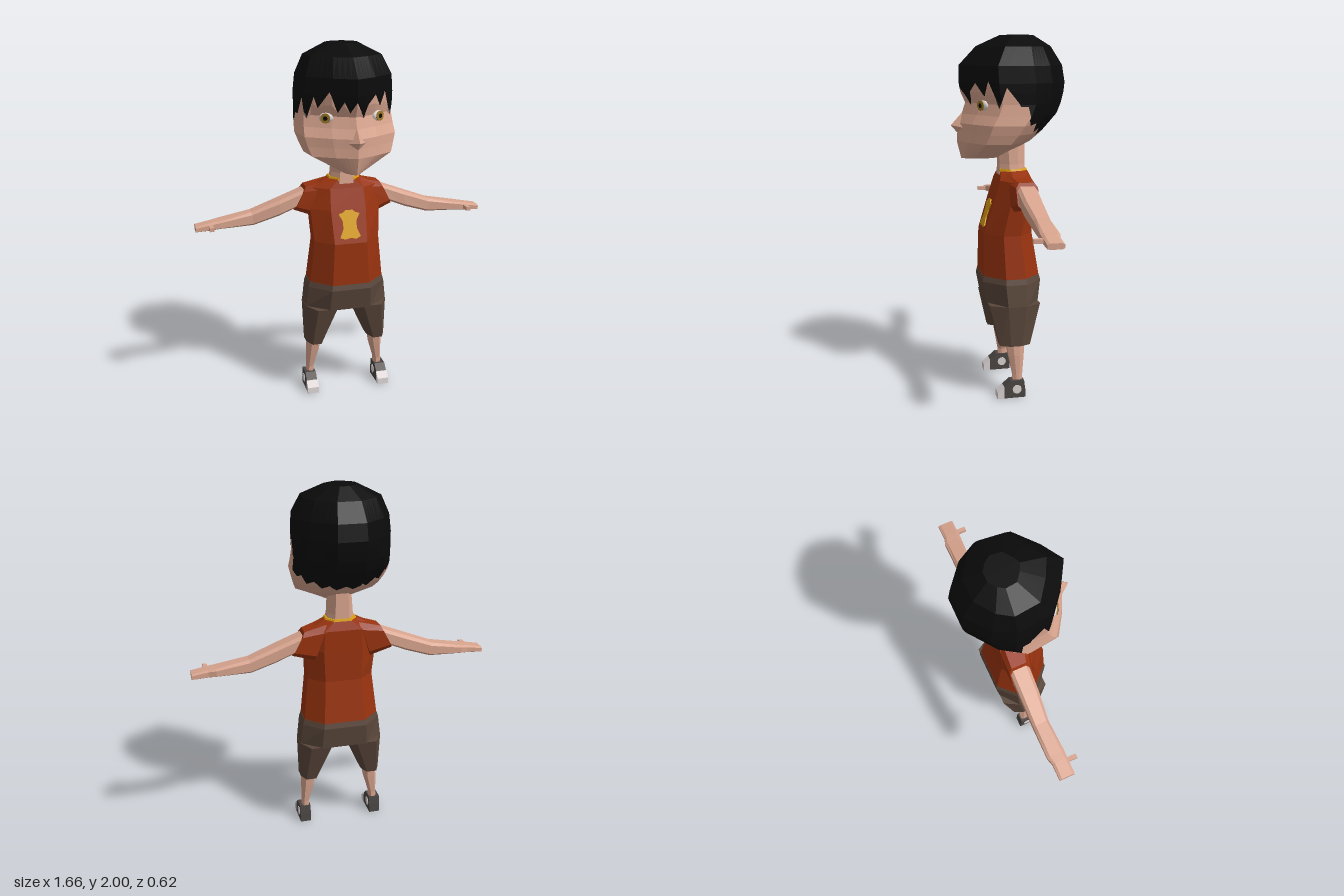
import * as THREE from 'three';

const mat = (name, color) => Object.assign(new THREE.MeshStandardMaterial({ color }), { name });

// Faceted geometry from a list of triangles; s = -1 mirrors it in x
function facets(tris, s = 1) {
  const out = [];
  const a = new THREE.Vector3(), b = new THREE.Vector3();
  for (const t of tris) {
    const p = t.map(([x, y, z]) => new THREE.Vector3(x * s, y, z));
    if (s < 0) p.reverse();
    a.subVectors(p[1], p[0]);
    b.subVectors(p[2], p[0]);
    if (a.cross(b).length() < 1e-8) continue;
    p.forEach(v => out.push(v.x, v.y, v.z));
  }
  const g = new THREE.BufferGeometry();
  g.setAttribute('position', new THREE.Float32BufferAttribute(out, 3));
  g.computeVertexNormals();
  return g;
}

// Skin closed cross-sections, capping the ends when asked
function loft(rings, s = 1, capStart = true, capEnd = true) {
  const tris = [], n = rings[0].length;
  for (let j = 0; j < rings.length - 1; j++) {
    for (let i = 0; i < n; i++) {
      const k = (i + 1) % n, A = rings[j], B = rings[j + 1];
      tris.push([A[i], A[k], B[k]], [A[i], B[k], B[i]]);
    }
  }
  const cap = (r, flip) => {
    const c = [0, 1, 2].map(d => r.reduce((sum, p) => sum + p[d], 0) / n);
    r.forEach((p, i) => {
      const q = r[(i + 1) % n];
      tris.push(flip ? [c, q, p] : [c, p, q]);
    });
  };
  if (capStart) cap(rings[0], true);
  if (capEnd) cap(rings[rings.length - 1], false);
  return facets(tris, s);
}

// Eight-sided body section: height, half width, front z, back z, centre x
const BODY = [[-0.5, 1], [0.5, 1], [1, 0.66], [1, 0.3], [0.55, 0], [-0.55, 0], [-1, 0.3], [-1, 0.66]];
const section = ([y, w, zf, zb, cx = 0]) => BODY.map(([x, t]) => [cx + x * w, y, zb + t * (zf - zb)]);

// Bevelled limb section running along x
function limbSection([xt, yt, xb, yb, zf, zb]) {
  const at = (v, t) => [xb + v * (xt - xb), yb + v * (yt - yb), zb + t * (zf - zb)];
  return [at(1, 0.15), at(1, 0.85), at(0.8, 1), at(0.15, 1), at(0, 0.85), at(0, 0.15), at(0.15, 0), at(0.8, 0)];
}

// Head section, from the face round the model's left side to the back
const HALF = [[0, 1], [0.45, 0.88], [0.93, 0.7], [1, 0.37], [0.77, 0.19], [0.3, 0.02]];
const HEAD = [...HALF, ...HALF.slice(1).reverse().map(([x, t]) => [-x, t])];
const HEAD_RINGS = [
  [1.335, 0.05, 0.26, 0.05], [1.43, 0.235, 0.283, -0.12], [1.48, 0.255, 0.28, -0.18],
  [1.53, 0.27, 0.28, -0.225], [1.58, 0.266, 0.255, -0.27], [1.64, 0.261, 0.235, -0.295],
  [1.7, 0.262, 0.262, -0.31], [1.75, 0.262, 0.27, -0.315], [1.84, 0.254, 0.27, -0.3],
  [1.94, 0.21, 0.175, -0.235], [2, 0.09, 0.04, -0.14],
];
function headPoint(u, y) {
  const i = Math.floor(u), f = u - i, p = HEAD[i % 11], q = HEAD[(i + 1) % 11];
  const x = p[0] + f * (q[0] - p[0]), t = p[1] + f * (q[1] - p[1]);
  let j = 0;
  while (j < HEAD_RINGS.length - 2 && y > HEAD_RINGS[j + 1][0]) j++;
  const A = HEAD_RINGS[j], B = HEAD_RINGS[j + 1], k = (y - A[0]) / (B[0] - A[0]);
  const [w, zf, zb] = [1, 2, 3].map(d => A[d] + k * (B[d] - A[d]));
  return [x * w, y, zb + t * (zf - zb)];
}

// Jagged hairline: position round the head, height
const SIDE = [[1.9, 1.62], [2.2, 1.73], [2.57, 1.63], [2.8, 1.63], [3.05, 1.56], [3.4, 1.53], [3.7, 1.54],
  [4, 1.49], [4.3, 1.51], [4.6, 1.465], [4.9, 1.49], [5.2, 1.455], [5.5, 1.48]];
const HAIRLINE = [
  [0, 1.72], [0.25, 1.67], [0.42, 1.63], [0.6, 1.7], [1, 1.75], [1.3, 1.68], [1.55, 1.76],
  ...SIDE, ...SIDE.slice(0, -1).reverse().map(([u, y]) => [11 - u, y]),
  [9.35, 1.74], [9.5, 1.68], [9.9, 1.77], [10.25, 1.66], [10.5, 1.72], [10.75, 1.66], [11, 1.72],
];
function hairHeight(u) {
  const i = Math.max(1, HAIRLINE.findIndex(h => h[0] >= u));
  const [a, ya] = HAIRLINE[i - 1], [b, yb] = HAIRLINE[i];
  return ya + (yb - ya) * (u - a) / (b - a);
}

export function createModel() {
  const skin = mat('skin', 0xd8a48e), hair = mat('hair', 0x0b0b0b), shirt = mat('shirt red', 0x98330f);
  const gold = mat('gold', 0xdba012), shorts = mat('shorts brown', 0x5a473b), shoe = mat('shoe grey', 0x4b4643);
  const white = mat('white', 0xdcd4d4), iris = mat('iris', 0xa07a28);

  const model = new THREE.Group();
  model.name = 'boy';
  const add = (name, geo, m, parent = model) => {
    const mesh = new THREE.Mesh(geo, m);
    mesh.name = name;
    parent.add(mesh);
    return mesh;
  };

  // Head surface, divided into face and hair along the hairline
  const columns = HAIRLINE.map(h => h[0]);
  for (let u = 0; u < 11; u += 0.25) columns.push(u);
  const us = [...new Set(columns)].filter(u => u < 11).sort((a, b) => a - b);
  const headRows = pick => HEAD_RINGS.map(r => us.map(u => headPoint(u, pick(r[0], hairHeight(u)))));
  add('face', loft(headRows(Math.min), 1, true, false), skin);
  add('hair', loft(headRows(Math.max), 1, false, true), hair);

  // Nose
  const bridge = [0, 1.6, 0.24], tip = [0, 1.517, 0.316], under = [0, 1.47, 0.275];
  const nl = [0.055, 1.505, 0.245], nr = [-0.055, 1.505, 0.245];
  add('nose', facets([[bridge, tip, nl], [bridge, nr, tip], [tip, under, nl], [tip, nr, under]]), skin);

  // Neck, collar and shirt
  add('neck', loft([[1.24, 0.08, 0.055, -0.09], [1.3, 0.07, 0.05, -0.09], [1.42, 0.062, 0.06, -0.09]].map(section)), skin);
  add('collar', loft([[1.258, 0.092, 0.052, -0.104], [1.274, 0.084, 0.05, -0.1]].map(section)), gold);
  add('shirt', loft([
    [0.68, 0.212, 0.156, -0.155], [0.92, 0.186, 0.15, -0.117], [1.1, 0.2, 0.095, -0.12],
    [1.215, 0.19, 0.06, -0.12], [1.265, 0.088, 0.047, -0.102],
  ].map(section)), shirt);

  // Chest emblem
  const badge = new THREE.Shape([
    [-0.06, -0.07], [-0.03, -0.08], [0, -0.072], [0.03, -0.08], [0.058, -0.066], [0.038, -0.02], [0.04, 0.025],
    [0.06, 0.062], [0.035, 0.07], [0.02, 0.083], [-0.02, 0.083], [-0.035, 0.07], [-0.06, 0.062], [-0.04, 0.025],
    [-0.038, -0.02],
  ].map(p => new THREE.Vector2(...p)));
  const emblem = add('chestEmblem', new THREE.ExtrudeGeometry(badge, { depth: 0.006, bevelEnabled: false }), gold);
  emblem.position.set(0, 1.02, 0.1195);
  emblem.rotation.x = -0.297;

  // Shorts seat
  add('shortsSeat', loft([
    [0.525, 0.238, 0.14, -0.148], [0.65, 0.222, 0.164, -0.164], [0.68, 0.213, 0.157, -0.156],
  ].map(section)), shorts);

  for (const s of [1, -1]) {
    const side = s > 0 ? 'left' : 'right';

    // Eye
    const eye = new THREE.Group();
    eye.name = side + 'Eye';
    eye.position.set(s * 0.142, 1.632, 0.162);
    eye.rotation.y = s * 0.5;
    model.add(eye);
    add('eyeWhite', new THREE.SphereGeometry(1, 10, 6).scale(0.04, 0.028, 0.016), white, eye);
    const disc = (name, r, z, m) => {
      add(name, new THREE.CylinderGeometry(r, r, 0.006, 10).rotateX(Math.PI / 2), m, eye).position.z = z;
    };
    disc('iris', 0.027, 0.016, iris);
    disc('pupil', 0.012, 0.018, hair);

    // Sleeve, arm and thumb
    add(side + 'Sleeve', loft([
      [0.09, 1.25, 0.16, 1.05, 0.04, -0.12], [0.215, 1.22, 0.283, 1.09, 0, -0.121],
    ].map(limbSection), s), shirt);
    add(side + 'Arm', loft([
      [0.19, 1.215, 0.26, 1.105, -0.006, -0.116], [0.36, 1.15, 0.37, 1.06, -0.01, -0.115],
      [0.52, 1.09, 0.51, 1.015, -0.025, -0.115], [0.7, 1.056, 0.7, 1.01, -0.015, -0.115],
      [0.74, 1.05, 0.74, 1.006, -0.015, -0.103], [0.83, 1.033, 0.83, 1.002, -0.015, -0.103],
    ].map(limbSection), s), skin);
    add(side + 'Thumb', new THREE.BoxGeometry(0.024, 0.022, 0.065).toNonIndexed(), skin).position.set(s * 0.748, 1.028, 0.002);

    // Shorts leg and calf
    add(side + 'ShortsLeg', loft([
      [0.3, 0.052, 0.085, -0.085, 0.183], [0.53, 0.105, 0.138, -0.147, 0.134],
    ].map(section), s), shorts);
    add(side + 'Calf', loft([
      [0.09, 0.022, 0.015, -0.04, 0.207], [0.13, 0.021, 0.015, -0.04, 0.206],
      [0.24, 0.036, 0.036, -0.05, 0.19], [0.32, 0.038, 0.05, -0.055, 0.183],
    ].map(section), s), skin);

    // Shoe with pale toe cap and side patches
    const slab = (pts, w) => new THREE.ExtrudeGeometry(
      new THREE.Shape(pts.map(([z, y]) => new THREE.Vector2(-z, y))), { depth: w, bevelEnabled: false },
    ).translate(0, 0, -w / 2).rotateY(Math.PI / 2);
    add(side + 'Shoe', slab([[-0.055, 0], [0.068, 0], [0.068, 0.066], [0.03, 0.1], [-0.045, 0.1], [-0.052, 0.05]], 0.062), shoe)
      .position.x = s * 0.213;
    add(side + 'ToeCap', slab([[0.068, 0], [0.107, 0], [0.105, 0.035], [0.068, 0.066]], 0.066), white).position.x = s * 0.213;
    add(side + 'ShoePatches', new THREE.CylinderGeometry(0.026, 0.026, 0.068, 10).rotateZ(Math.PI / 2), white)
      .position.set(s * 0.213, 0.05, -0.005);
  }
  return model;
}
